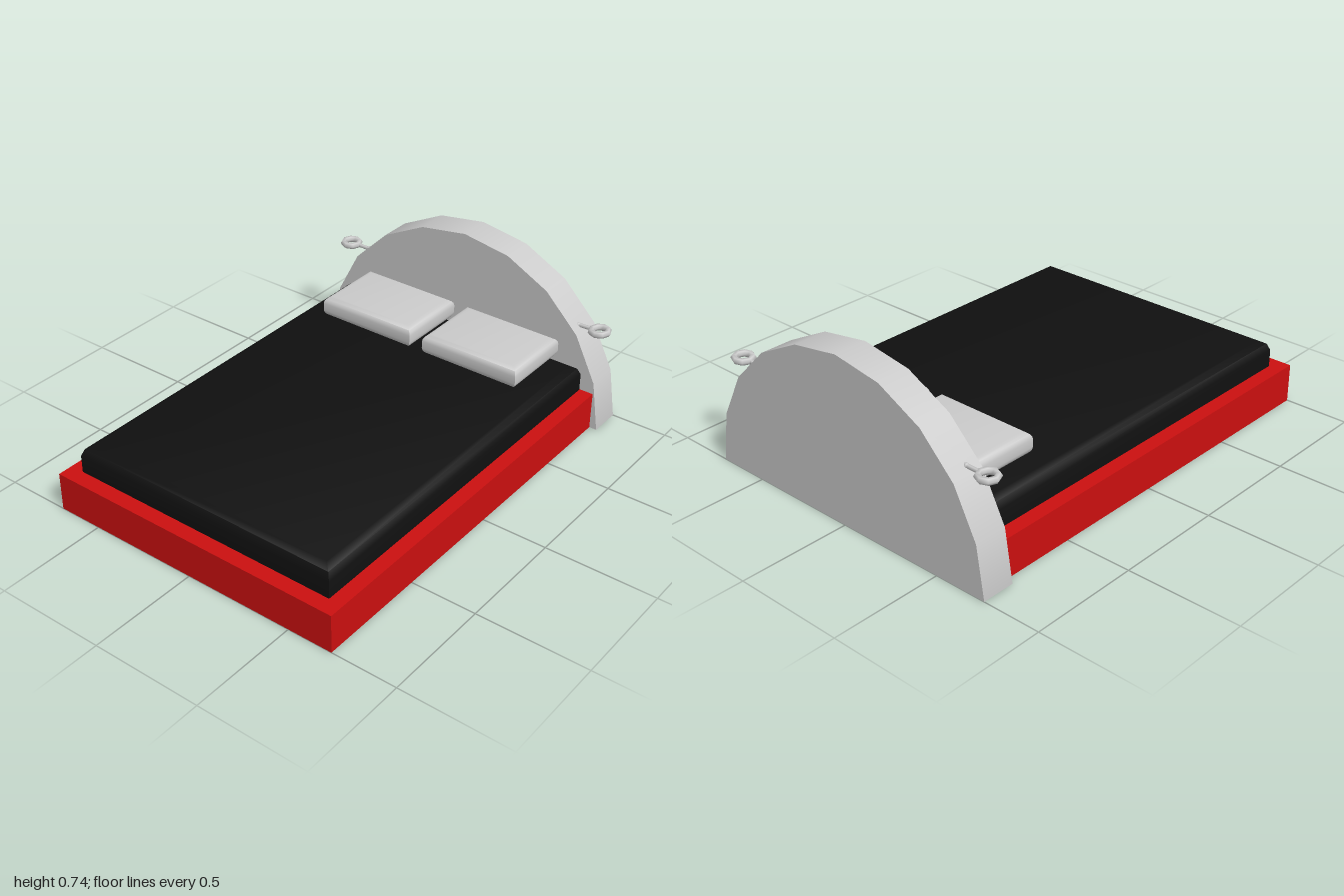
import * as THREE from 'three';
import { toCreasedNormals } from 'three/addons/utils/BufferGeometryUtils.js';

const grey = new THREE.MeshStandardMaterial({ color: 0xcccccc });
const greyOpen = new THREE.MeshStandardMaterial({ color: 0xcccccc, side: THREE.DoubleSide });
const red = new THREE.MeshStandardMaterial({ color: 0xcc1010 });
const black = new THREE.MeshStandardMaterial({ color: 0x101010 });

function addMesh(parent, name, geometry, material, x = 0, y = 0, z = 0) {
  const mesh = new THREE.Mesh(geometry, material);
  mesh.name = name;
  mesh.position.set(x, y, z);
  parent.add(mesh);
  return mesh;
}

// Cushion with mitred corners: rectangular rings [height, inset] from bottom to top
function cushion(width, depth, rings) {
  const pos = [], index = [];
  for (const [y, inset] of rings) {
    const x = width / 2 - inset, z = depth / 2 - inset;
    pos.push(-x, y, z, x, y, z, x, y, -z, -x, y, -z);
  }
  for (let r = 0; r < rings.length - 1; r++) {
    for (let i = 0; i < 4; i++) {
      const a = r * 4 + i, b = r * 4 + (i + 1) % 4;
      index.push(a, b, b + 4, a, b + 4, a + 4);
    }
  }
  const t = (rings.length - 1) * 4;
  index.push(0, 2, 1, 0, 3, 2, t, t + 1, t + 2, t, t + 2, t + 3);
  const geometry = new THREE.BufferGeometry();
  geometry.setAttribute('position', new THREE.Float32BufferAttribute(pos, 3));
  geometry.setIndex(index);
  return toCreasedNormals(geometry, 0.9);
}

// Ring with a short stem reaching into the headboard rim
function makeRingLamp(side) {
  const group = new THREE.Group();
  group.name = side > 0 ? 'leftRingFitting' : 'rightRingFitting';
  const ring = addMesh(group, 'ring', new THREE.TorusGeometry(0.038, 0.015, 6, 8), grey);
  ring.rotation.x = Math.PI / 2;
  const stem = addMesh(group, 'stem', new THREE.CylinderGeometry(0.009, 0.009, 0.075, 6), grey, -side * 0.075);
  stem.rotation.z = Math.PI / 2;
  addMesh(group, 'stemTip', new THREE.SphereGeometry(0.012, 6, 4), grey, -side * 0.105);
  group.position.set(side * 0.678, 0.46, -0.908);
  group.rotation.z = side > 0 ? 0.05 : 0;
  return group;
}

export function createModel() {
  const bed = new THREE.Group();
  bed.name = 'bed';

  // Base, running on into the hollow headboard
  addMesh(bed, 'base', new THREE.BoxGeometry(1.41, 0.175, 1.91), red, 0, 0.0875, 0.045);

  // Mattress
  addMesh(bed, 'mattress', cushion(1.28, 1.775,
    [[0.17, 0], [0.255, 0], [0.286, 0.013], [0.3, 0.043]]), black, 0, 0, 0.0425);

  // Half-round headboard, open underneath
  const arch = new THREE.CylinderGeometry(0.74, 0.74, 0.15, 10, 1, false, -Math.PI / 2, Math.PI);
  arch.rotateX(Math.PI / 2);
  arch.rotateZ(Math.PI);
  addMesh(bed, 'headboard', arch, greyOpen, 0, 0, -0.925);

  // Pillows: rounded on the top and bottom edges
  const r = 0.032, low = 0.302, high = 0.4, rings = [];
  for (let i = 0; i <= 4; i++) {
    const a = i * Math.PI / 8;
    rings.push([low + r * (1 - Math.cos(a)), r * (1 - Math.sin(a))]);
  }
  for (let i = 0; i <= 4; i++) {
    const a = i * Math.PI / 8;
    rings.push([high - r * (1 - Math.sin(a)), r * (1 - Math.cos(a))]);
  }
  for (const side of [-1, 1]) {
    addMesh(bed, side > 0 ? 'leftPillow' : 'rightPillow',
      cushion(0.484, 0.35, rings), grey, side * 0.276, 0, -0.667);
    bed.add(makeRingLamp(side));
  }

  // The half cylinder must rise above the floor
  const board = bed.getObjectByName('headboard');
  board.geometry.computeBoundingBox();
  if (board.geometry.boundingBox.max.y < 0.1) board.rotation.z = Math.PI;

  return bed;
}
